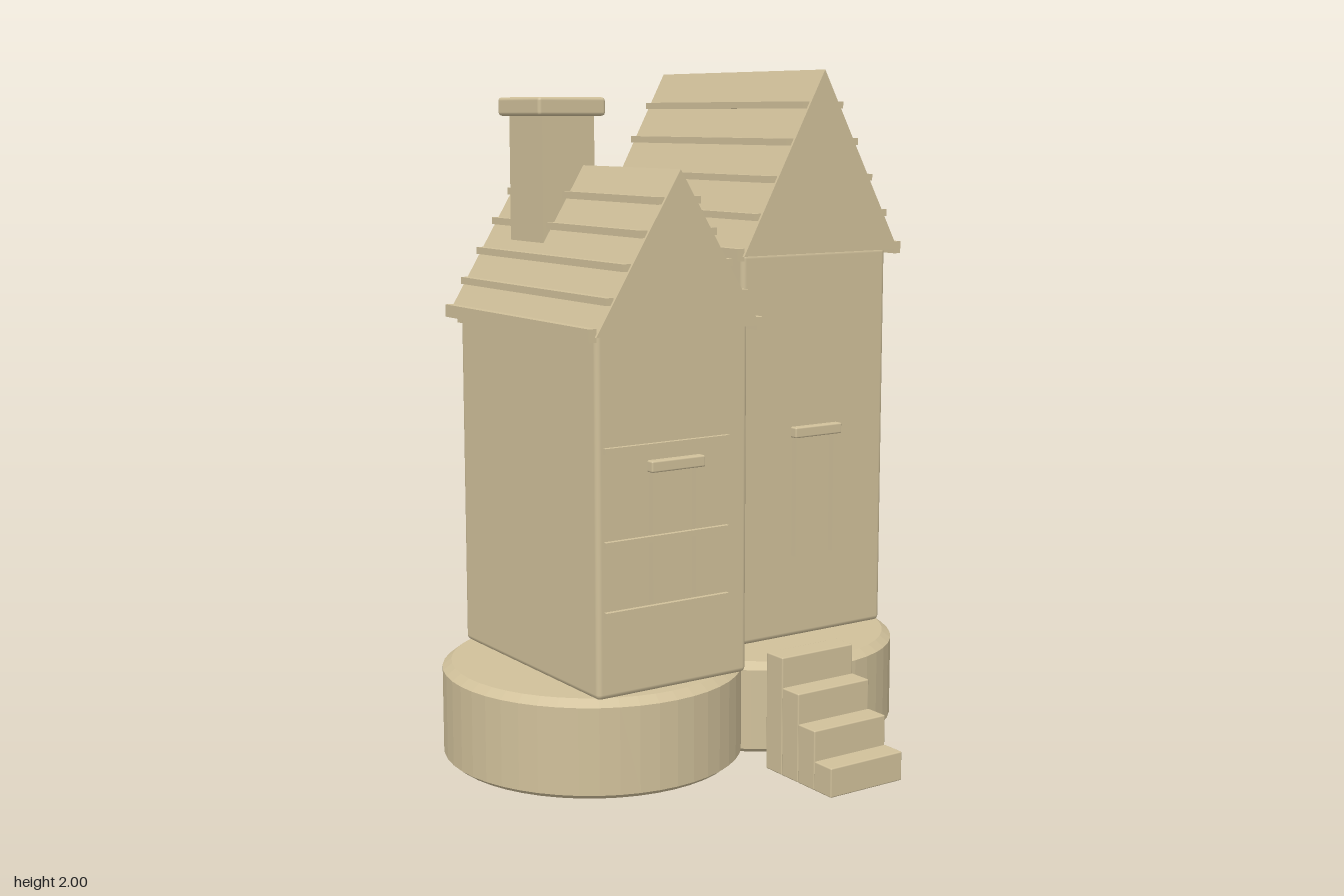
import * as THREE from 'three';
import { RoundedBoxGeometry } from 'three/addons/geometries/RoundedBoxGeometry.js';

const stone = new THREE.MeshStandardMaterial({ color: 0xd0c09a });
stone.name = 'sandstone';

// Box given by its limits on each axis; a radius rounds its edges
function block(name, [x0, x1], [y0, y1], [z0, z1], radius = 0) {
  const size = [x1 - x0, y1 - y0, z1 - z0];
  const geometry = radius
    ? new RoundedBoxGeometry(...size, 2, radius)
    : new THREE.BoxGeometry(...size);
  const mesh = new THREE.Mesh(geometry, stone);
  mesh.name = name;
  mesh.position.set((x0 + x1) / 2, (y0 + y1) / 2, (z0 + z1) / 2);
  return mesh;
}

// Oval slab with bevelled rims
function baseDisc(x, z, rx, rz, height) {
  const profile = [[0, 0], [0.96, 0], [1, 0.014], [1, height - 0.02], [0.94, height], [0, height]];
  const geometry = new THREE.LatheGeometry(profile.map(([r, y]) => new THREE.Vector2(r, y)), 48)
    .scale(rx, 1, rz).toNonIndexed();
  geometry.computeVertexNormals();
  const mesh = new THREE.Mesh(geometry, stone);
  mesh.name = 'baseDisc';
  mesh.position.set(x, 0, z);
  return mesh;
}

// Walls topped by a gabled roof with horizontal battens on both slopes
function house(name, { x, halfWidth, z, wallTop, apex, eave, roofHalf, roofZ }) {
  const group = new THREE.Group();
  group.name = name;
  group.add(block('walls', [x - halfWidth, x + halfWidth], [0.32, wallTop], z, 0.015));

  const gable = new THREE.Shape([
    new THREE.Vector2(-roofHalf, eave),
    new THREE.Vector2(roofHalf, eave),
    new THREE.Vector2(0, apex),
  ]);
  const roof = new THREE.Mesh(
    new THREE.ExtrudeGeometry(gable, { depth: roofZ[1] - roofZ[0], bevelEnabled: false }), stone);
  roof.name = 'roof';
  roof.position.set(x, 0, roofZ[0]);
  group.add(roof);

  for (const side of [-1, 1]) {
    for (let i = 0; i < 5; i++) {
      const t = 0.195 + i * 0.2;
      const half = i === 4 ? 0.018 : 0.01;
      const bx = x + side * (roofHalf * t + 0.007);
      const by = apex - (apex - eave) * t + 0.002;
      group.add(block('roofBatten', [bx - 0.012, bx + 0.012], [by - half, by + half],
        [roofZ[0] + 0.008, roofZ[1] - 0.008]));
    }
  }
  return group;
}

// Two jambs and a lintel standing proud of the wall
function windowFrame(x, wallZ) {
  const group = new THREE.Group();
  group.name = 'windowFrame';
  const depth = [wallZ - 0.01, wallZ + 0.02];
  for (const side of [-1, 1]) {
    const jx = x + side * 0.07;
    group.add(block('jamb', [jx - 0.012, jx + 0.012], [0.57, 0.93], depth));
  }
  group.add(block('lintel', [x - 0.087, x + 0.087], [0.928, 0.96], [depth[0], wallZ + 0.024], 0.005));
  return group;
}

export function createModel() {
  const model = new THREE.Group();
  model.name = 'houseCluster';

  // Overlapping ground slabs
  model.add(
    baseDisc(-0.31, 0, 0.44, 0.45, 0.285),
    baseDisc(0.31, -0.06, 0.435, 0.467, 0.275),
    baseDisc(-0.07, -0.32, 0.4, 0.43, 0.305),
  );

  // Three houses
  model.add(
    house('tallHouse', { x: 0.305, halfWidth: 0.267, z: [-0.5, 0.27], wallTop: 1.477,
      apex: 2, eave: 1.472, roofHalf: 0.286, roofZ: [-0.532, 0.303] }),
    house('chimneyHouse', { x: -0.347, halfWidth: 0.246, z: [-0.26, 0.487], wallTop: 1.315,
      apex: 1.73, eave: 1.303, roofHalf: 0.264, roofZ: [-0.292, 0.518] }),
    house('smallHouse', { x: -0.198, halfWidth: 0.167, z: [-0.632, -0.225], wallTop: 1.252,
      apex: 1.59, eave: 1.24, roofHalf: 0.184, roofZ: [-0.655, -0.2] }),
  );

  // Chimney
  model.add(
    block('chimneyStack', [-0.48, -0.31], [1.3, 1.88], [-0.155, 0.03]),
    block('chimneyCap', [-0.505, -0.285], [1.868, 1.92], [-0.18, 0.055], 0.01),
  );

  // Front windows
  model.add(windowFrame(0.305, 0.27), windowFrame(-0.347, 0.487));

  // Rails hanging in front of the chimney house
  for (const y of [0.565, 0.755, 1.005]) {
    model.add(block('rail', [-0.595, -0.197], [y - 0.008, y + 0.008], [0.521, 0.535]));
  }

  // Front steps
  for (let i = 0; i < 4; i++) {
    const z = 0.745 - i * 0.0745;
    model.add(block('step', [0, 0.257], [0.005, 0.09 + i * 0.087], [z - 0.0745, z], 0.004));
  }
  return model;
}
